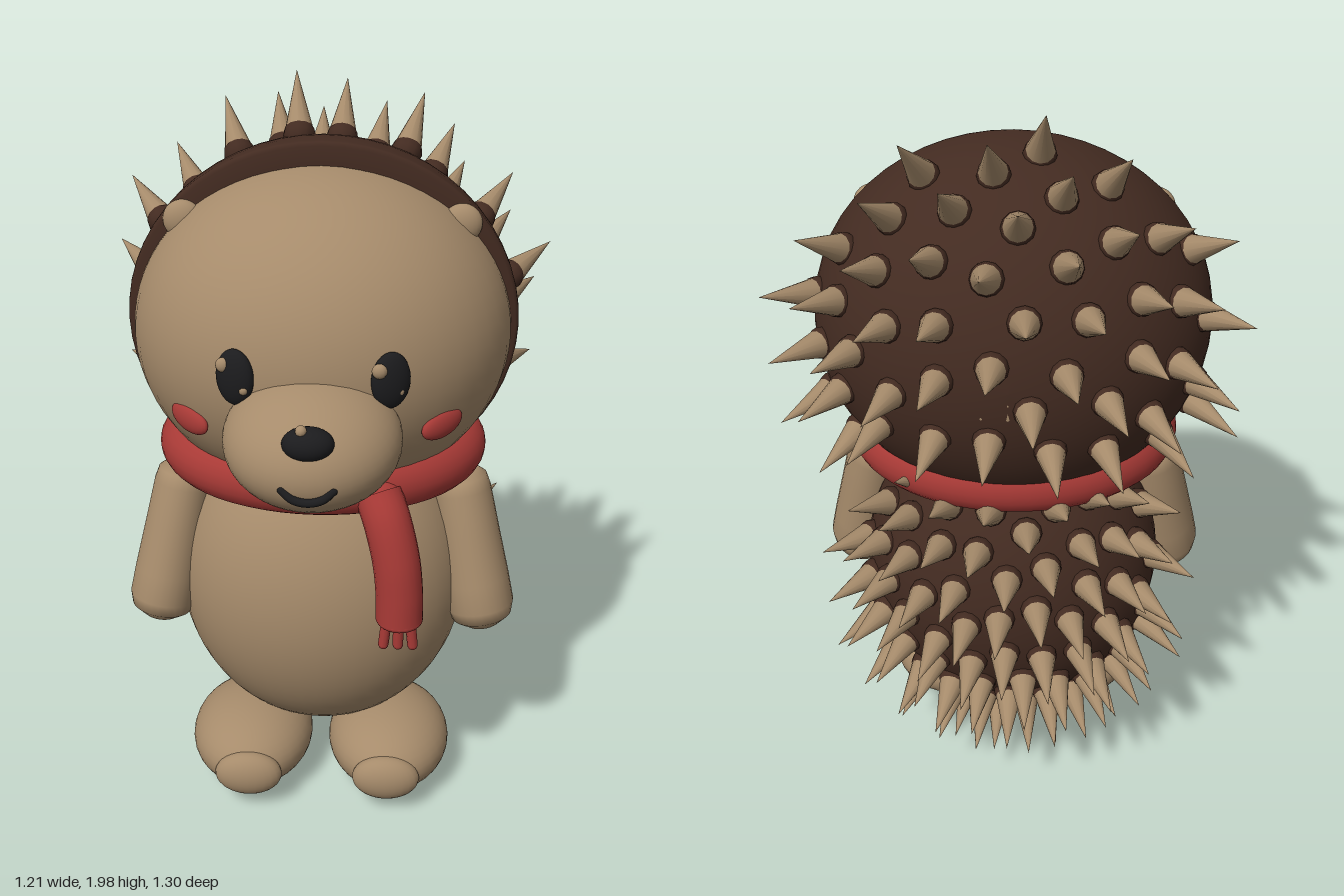
import * as THREE from 'three';
import { mergeGeometries } from 'three/addons/utils/BufferGeometryUtils.js';

const mat = (name, color) => {
  const m = new THREE.MeshStandardMaterial({ color });
  m.name = name;
  return m;
};

export function createModel() {
  const model = new THREE.Group();
  const figure = new THREE.Group();
  figure.name = 'hedgehog';
  figure.position.x = 0.008; // the uneven spines push the figure a little off centre
  model.add(figure);
  const tan = mat('tan', 0xa68b6b), brown = mat('dark brown', 0x432b21);
  const red = mat('scarf red', 0xa83a36), black = mat('black', 0x1c1c1e);
  const V = (x, y, z) => new THREE.Vector3(x, y, z);

  const add = (name, geo, material, pos = [0, 0, 0]) => {
    const m = new THREE.Mesh(geo, material);
    m.name = name;
    m.position.set(...pos);
    figure.add(m);
    return m;
  };
  const ball = (name, material, pos, r, seg = 24) =>
    add(name, new THREE.SphereGeometry(1, seg, Math.round(seg * 0.7)).scale(...r), material, pos);

  // Head and body
  ball('head', tan, [0, 1.36, 0], [0.5, 0.44, 0.46], 48);
  ball('body', tan, [0, 0.62, 0], [0.41, 0.47, 0.35], 48);

  // Spiny hood: back half of an ellipsoid with a softly rounded front rim
  const hoodR = [0.52, 0.49, 0.46], hoodC = [0, 1.37, 0];
  const profile = [];
  for (let i = 0; i <= 20; i++) {
    const a = (i / 20) * Math.PI / 2;
    profile.push(new THREE.Vector2(Math.sin(a), -Math.cos(a)));
  }
  profile.push(new THREE.Vector2(0.997, 0.02), new THREE.Vector2(0.98, 0.045), new THREE.Vector2(0.88, 0.05));
  const hoodGeo = new THREE.LatheGeometry(profile, 56).rotateX(Math.PI / 2).scale(...hoodR);
  const hood = add('hood', hoodGeo, brown, hoodC);
  hood.rotation.x = 0.05;

  // Back shell, showing only where it comes out of the body
  const shellR = [0.412, 0.46, 0.37], shellC = [0, 0.63, -0.05];
  ball('backShell', brown, shellC, shellR, 48);

  // Spines spread on a spiral over the back of an ellipsoid, swept backwards and slightly up
  const spines = (name, c, r, count, z0, sweep, lift, length, keep) => {
    const tips = [], roots = [];
    const up = V(0, 1, 0), golden = Math.PI * (3 - Math.sqrt(5));
    for (let i = 0; i < count; i++) {
      const w = z0 + (1 - z0) * (i + 0.5) / count;
      const q = Math.sqrt(1 - w * w), a = i * golden + 1.7;
      const n = V(Math.cos(a) * q, Math.sin(a) * q, -w);
      const p = V(c[0] + n.x * r[0], c[1] + n.y * r[1], c[2] + n.z * r[2]);
      if (!keep(p)) continue;
      const dir = V(n.x / r[0], n.y / r[1], n.z / r[2]).normalize();
      dir.z -= sweep;
      dir.y += lift;
      dir.normalize();
      const place = new THREE.Matrix4().compose(p, new THREE.Quaternion().setFromUnitVectors(up, dir), V(1, 1, 1));
      roots.push(new THREE.SphereGeometry(0.042, 12, 8).applyMatrix4(place));
      tips.push(new THREE.ConeGeometry(0.037, length - 0.015, 12).translate(0, 0.015 + (length - 0.015) / 2, 0).applyMatrix4(place));
    }
    add(name + 'Roots', mergeGeometries(roots), brown);
    add(name + 'Tips', mergeGeometries(tips), tan);
  };
  spines('headSpines', hoodC, hoodR, 62, 0.2, 0.8, 0.2, 0.19, (p) => p.y > 1.13);
  spines('backSpines', shellC, shellR, 74, 0.2, 0.85, 0.12, 0.185, (p) => p.y < 1.0);

  // Muzzle dipping towards the front, nose and smile
  const muzzle = ball('muzzle', tan, [0, 1.23, 0.44], [0.22, 0.15, 0.212], 40);
  muzzle.rotation.x = 0.28;
  ball('nose', black, [0, 1.29, 0.604], [0.062, 0.042, 0.042]);
  ball('noseHighlight', tan, [-0.015, 1.329, 0.618], [0.014, 0.014, 0.014], 12);
  const smile = new THREE.CatmullRomCurve3([
    V(-0.06, 1.185, 0.634), V(-0.035, 1.165, 0.642), V(0, 1.158, 0.645), V(0.035, 1.165, 0.642), V(0.06, 1.185, 0.634)]);
  add('smile', new THREE.TubeGeometry(smile, 20, 0.011, 8), black);
  for (const s of [-1, 1]) ball('smileEnd', black, [s * 0.06, 1.185, 0.634], [0.011, 0.011, 0.011], 10);

  // Parts on both sides
  for (const s of [-1, 1]) {
    const side = s > 0 ? 'left' : 'right';
    const eye = ball(side + 'Eye', black, [s * 0.187, 1.38, 0.427], [0.05, 0.072, 0.026]);
    eye.rotation.y = s * 0.38;
    // Eye highlights sit on the turned eye surface
    const glint = (name, dx, y, r) =>
      ball(side + name, tan, [s * 0.187 + dx, y, 0.443 - dx * s * 0.4], [r, r, r * 0.7], 12);
    glint('EyeHighlight', -0.027, 1.413, 0.019);
    glint('EyeGlint', 0.022, 1.355, 0.011);

    const cheek = ball(side + 'Cheek', red, [s * 0.316, 1.225, 0.328], [0.066, 0.037, 0.02]);
    cheek.rotation.set(0, s * 0.72, s * 0.15);

    ball(side + 'Ear', tan, [s * 0.358, 1.655, 0.04], [0.052, 0.052, 0.03]);

    // Arm: tapered sleeve with a blunt paw
    const armProfile = [[0, 0], [0.05, 0.018], [0.09, 0.045], [0.102, 0.08], [0.1, 0.16], [0.093, 0.3],
      [0.088, 0.42], [0.081, 0.455], [0.058, 0.475], [0, 0.482]].map(([x, y]) => new THREE.Vector2(x, y));
    const arm = add(side + 'Arm', new THREE.LatheGeometry(armProfile, 28).scale(0.93, 1, 1.08), tan, [s * 0.465, 0.495, 0.115]);
    arm.quaternion.setFromUnitVectors(V(0, 1, 0), V(-s * 0.088, 0.46, -0.085).normalize());

    ball(side + 'Foot', tan, [s * 0.2, 0.128, 0.125], [0.175, 0.12, 0.225], 32);
    ball(side + 'Toe', tan, [s * 0.195, 0.12, 0.325], [0.095, 0.068, 0.045]);
  }

  // Scarf ring, hanging end and fringe
  add('scarf', new THREE.TorusGeometry(0.375, 0.074, 20, 56).rotateX(Math.PI / 2).scale(1, 1, 0.83), red, [0, 1.03, 0]);
  const fall = new THREE.CatmullRomCurve3([
    V(0.16, 1.02, 0.32), V(0.185, 0.96, 0.355), V(0.21, 0.86, 0.378), V(0.22, 0.77, 0.385), V(0.222, 0.69, 0.387)]);
  add('scarfEnd', new THREE.TubeGeometry(fall, 24, 0.062, 20), red);
  ball('scarfEndTop', red, [0.16, 1.015, 0.32], [0.062, 0.05, 0.062]);
  ball('scarfEndTip', red, [0.222, 0.69, 0.387], [0.062, 0.025, 0.062]);
  for (let i = -1; i <= 1; i++) {
    const f = add('fringe', new THREE.CapsuleGeometry(0.014, 0.07, 4, 10), red, [0.22 + i * 0.035, 0.645, 0.39]);
    f.rotation.z = i * 0.1;
  }
  return model;
}
